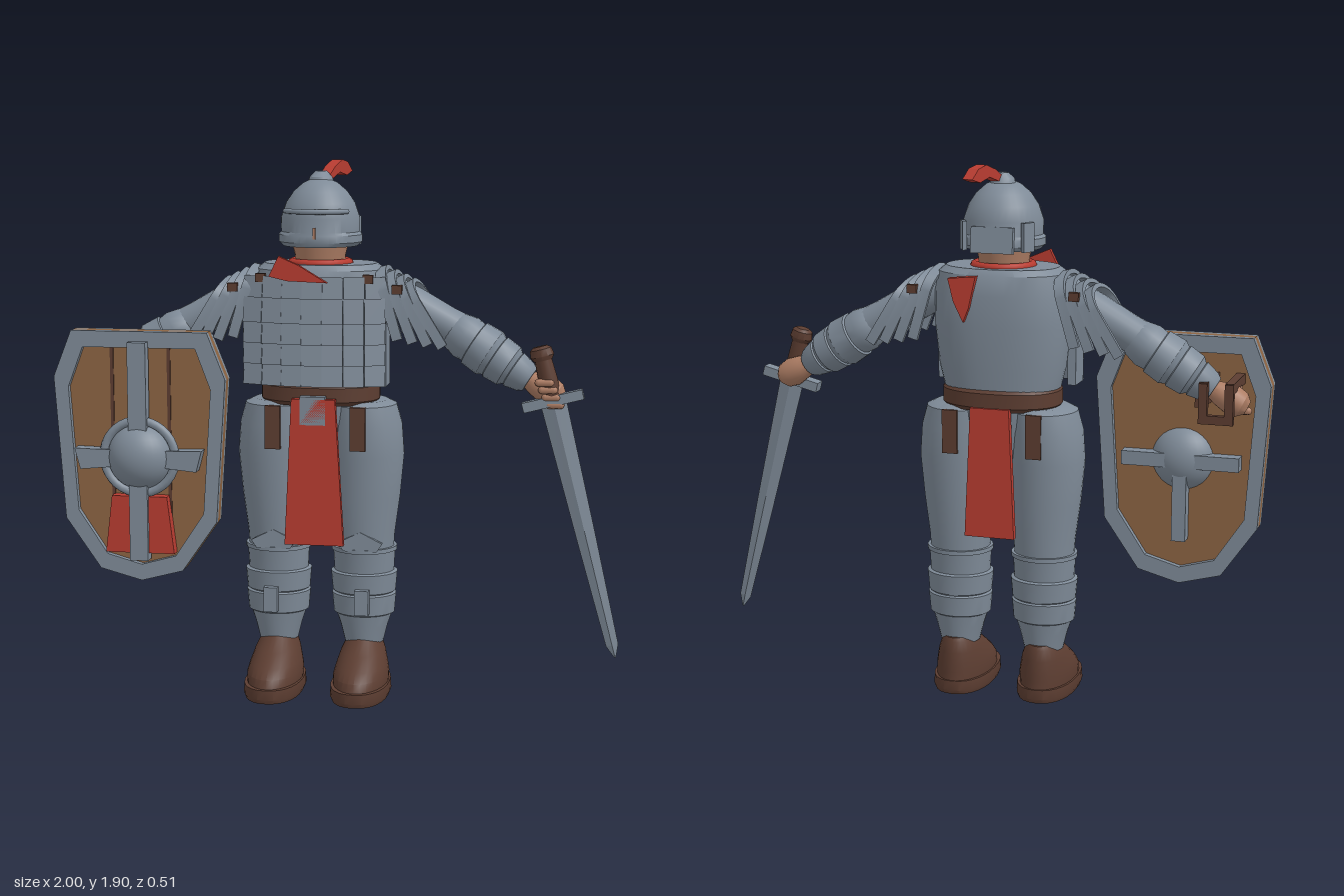
import * as THREE from 'three';
import { toCreasedNormals, mergeGeometries } from 'three/addons/utils/BufferGeometryUtils.js';

const CX = -0.075; // body centre line
const mat = (name, color) => Object.assign(new THREE.MeshStandardMaterial({ color }), { name });

// Closed skin over rings [y, centreX, centreZ, radiusX, radiusZ, roundness]; 2 is an ellipse, more is boxier
function loft(rings, n = 28, crease = 0.55) {
  const cap = (r) => [r[0], r[1], r[2], 0, 0, 2];
  const all = [cap(rings[0]), ...rings, cap(rings[rings.length - 1])];
  const pos = [], idx = [];
  const pw = (v, e) => Math.sign(v) * Math.abs(v) ** e;
  all.forEach(([y, cx, cz, rx, rz, p = 2], i) => {
    for (let j = 0; j < n; j++) {
      const t = (j / n) * Math.PI * 2;
      pos.push(cx + rx * pw(Math.cos(t), 2 / p), y, cz + rz * pw(Math.sin(t), 2 / p));
      if (i === all.length - 1) continue;
      const a = i * n + j, b = i * n + (j + 1) % n;
      if (i > 0) idx.push(a, a + n, b);
      if (i < all.length - 2) idx.push(b, a + n, b + n);
    }
  });
  const g = new THREE.BufferGeometry();
  g.setAttribute('position', new THREE.Float32BufferAttribute(pos, 3));
  g.setIndex(idx);
  return toCreasedNormals(g, crease);
}

const shapeOf = (pts) => new THREE.Shape(pts.map(([x, y]) => new THREE.Vector2(x, y)));
const plate = (shape, depth) => new THREE.ExtrudeGeometry(shape, { depth, bevelEnabled: false });
const box = (w, h, d) => new THREE.BoxGeometry(w, h, d);

export function createModel() {
  const steel = mat('steel', 0x7f8b98), leather = mat('leather', 0x5c3d31), red = mat('redCloth', 0xb83c31);
  const skin = mat('skin', 0xad7d64), wood = mat('wood', 0x8c6443);
  const model = new THREE.Group();
  model.name = 'armouredSoldier';

  const add = (name, geo, material, p = [0, 0, 0], r = [0, 0, 0], parent = model) => {
    const m = new THREE.Mesh(geo, material);
    m.name = name;
    m.position.set(...p);
    m.rotation.set(...r);
    parent.add(m);
    return m;
  };
  // Round limb from a to b, with profile [fraction along, radius]
  const limb = (name, material, a, b, profile) => {
    const A = new THREE.Vector3(...a), d = new THREE.Vector3(...b).sub(A), len = d.length();
    const m = add(name, loft(profile.map(([t, r]) => [t * len, 0, 0, r, r]), 20), material, a);
    m.quaternion.setFromUnitVectors(new THREE.Vector3(0, 1, 0), d.normalize());
  };

  // Torso, hips and belt
  add('torso', loft([
    [1.1, CX, -0.04, 0.2, 0.14, 2.3], [1.2, CX, -0.04, 0.225, 0.15, 2.3], [1.35, CX, -0.04, 0.24, 0.16, 2.4],
    [1.46, CX, -0.04, 0.24, 0.16, 2.4], [1.53, CX, -0.04, 0.225, 0.15, 2.4], [1.55, CX, -0.04, 0.2, 0.135, 2.3]
  ], 40), steel);
  add('hips', loft([[0.88, CX, -0.045, 0.13, 0.1], [1.0, CX, -0.045, 0.21, 0.12], [1.08, CX, -0.045, 0.2, 0.13]]), steel);
  add('belt', loft([
    [1.055, CX, -0.04, 0.2, 0.14, 2.3], [1.07, CX, -0.04, 0.212, 0.152, 2.3],
    [1.12, CX, -0.04, 0.212, 0.152, 2.3], [1.135, CX, -0.04, 0.2, 0.14, 2.3]
  ], 36), leather);
  add('buckle', box(0.09, 0.1, 0.03), steel, [CX, 1.045, 0.13]);

  // Breastplate of overlapping small plates
  const scales = [];
  for (let row = 0; row < 5; row++) for (let c = -3; c <= 3; c++) {
    const dx = c * 0.071;
    const g = box(0.072, 0.088, 0.022);
    g.rotateX(-0.12).rotateY(c * 0.1);
    g.translate(CX + dx, 1.175 + row * 0.073, 0.147 - 0.9 * dx * dx + (row === 4 ? -0.015 : 0));
    scales.push(g);
  }
  add('breastplateScales', mergeGeometries(scales), steel);
  for (const s of [-1, 1]) {
    add('breastplateSide', box(0.03, 0.3, 0.1), steel, [CX + s * 0.238, 1.28, 0.05]);
    add('breastplateStrap', box(0.035, 0.03, 0.02), leather, [CX + s * 0.19, 1.505, 0.1]);
  }

  // Scarf and hanging cloths
  add('collar', new THREE.TorusGeometry(0.1, 0.016, 8, 28), red, [CX, 1.55, -0.035], [Math.PI / 2, 0, 0]);
  add('scarfFront', plate(shapeOf([[-0.225, 1.515], [-0.19, 1.585], [-0.12, 1.555], [-0.02, 1.495], [-0.16, 1.5]]), 0.02), red, [0, 0, 0.14]);
  add('scarfBack', plate(shapeOf([[-0.03, 1.53], [0.07, 1.52], [0.05, 1.44], [0.015, 1.37], [-0.005, 1.42]]), 0.03), red, [0, 0, -0.215]);
  add('frontCloth', plate(shapeOf([[-0.175, 0.57], [0.035, 0.57], [0.005, 1.09], [-0.15, 1.09]]), 0.025), red, [0, -0.004, 0.12], [0, 0, 0]);
  add('backCloth', plate(shapeOf([[-0.165, 0.61], [0.015, 0.61], [-0.005, 1.07], [-0.145, 1.07]]), 0.025), red, [0, 0, -0.2]);

  // Head and helmet
  add('neck', loft([[1.53, CX, -0.03, 0.085, 0.085], [1.58, CX, -0.03, 0.09, 0.095], [1.68, CX, -0.03, 0.115, 0.115]]), skin);
  add('helmet', loft([
    [1.61, CX, -0.035, 0.132, 0.126], [1.625, CX, -0.035, 0.148, 0.134], [1.65, CX, -0.035, 0.148, 0.134],
    [1.66, CX, -0.035, 0.139, 0.13], [1.71, CX, -0.035, 0.139, 0.134], [1.76, CX, -0.035, 0.122, 0.12],
    [1.8, CX, -0.035, 0.095, 0.095], [1.83, CX, -0.035, 0.06, 0.06], [1.845, CX, -0.035, 0.025, 0.025]
  ], 36), steel);
  add('browBar', new THREE.TorusGeometry(0.14, 0.009, 8, 20, Math.PI * 0.58), steel, [CX, 1.735, -0.032], [Math.PI / 2, 0, Math.PI * 0.21]);
  add('noseSlit', box(0.01, 0.04, 0.006), skin, [CX, 1.66, 0.1]);
  add('neckGuard', box(0.15, 0.09, 0.02), steel, [CX, 1.65, -0.165], [0.1, 0, 0]);
  for (const s of [-1, 1]) add('cheekGuard', box(0.015, 0.1, 0.05), steel, [CX + s * 0.115, 1.66, -0.13], [0, s * 0.5, 0]);
  add('crestKnob', loft([
    [1.835, CX, -0.045, 0.045, 0.045], [1.85, CX, -0.045, 0.04, 0.04], [1.87, CX, -0.05, 0.02, 0.02]
  ], 16), steel);
  add('plume', plate(shapeOf([
    [0, 1.85], [0.06, 1.885], [0.12, 1.905], [0.17, 1.895], [0.21, 1.862], [0.16, 1.848], [0.1, 1.862], [0.03, 1.84]
  ]), 0.04), red, [CX - 0.01, 0, -0.05], [0, Math.PI / 2 - 0.25, 0]);

  // Shoulder arch, open below
  const arch = new THREE.Shape();
  arch.moveTo(0.135, -0.24).lineTo(0.135, -0.06).quadraticCurveTo(0.12, 0.01, 0, 0.015)
    .quadraticCurveTo(-0.12, 0.01, -0.135, -0.06).lineTo(-0.135, -0.24).lineTo(-0.118, -0.24).lineTo(-0.118, -0.06)
    .quadraticCurveTo(-0.1, -0.005, 0, -0.002).quadraticCurveTo(0.1, -0.005, 0.118, -0.06).lineTo(0.118, -0.24);
  const archGeo = toCreasedNormals(plate(arch, 0.036).translate(0, 0, -0.018), 0.5);

  for (const s of [-1, 1]) {
    const X = (dx) => CX + s * dx;

    // Legs
    const lx = X(0.157);
    add('thigh', loft([
      [0.5, lx, -0.045, 0.105, 0.1], [0.58, lx, -0.045, 0.11, 0.108], [0.72, X(0.16), -0.045, 0.126, 0.118],
      [0.87, X(0.165), -0.045, 0.135, 0.13], [0.98, X(0.16), -0.045, 0.132, 0.135],
      [1.05, X(0.15), -0.045, 0.122, 0.13], [1.065, X(0.14), -0.045, 0.1, 0.11]
    ]), steel);
    add('greave', loft([
      [0.18, lx, -0.045, 0.07, 0.075], [0.24, lx, -0.045, 0.085, 0.085], [0.285, lx, -0.045, 0.1, 0.092],
      [0.29, lx, -0.045, 0.11, 0.1], [0.36, lx, -0.045, 0.116, 0.106], [0.365, lx, -0.045, 0.106, 0.1],
      [0.37, lx, -0.045, 0.114, 0.104], [0.44, lx, -0.045, 0.12, 0.11], [0.445, lx, -0.045, 0.108, 0.1],
      [0.52, lx, -0.045, 0.112, 0.108]
    ]), steel);
    add('kneeBand', loft([[0.52, lx, -0.045, 0.118, 0.114], [0.535, lx, -0.045, 0.118, 0.114]]), steel);
    add('kneePlate', plate(shapeOf([[-0.08, 0.56], [0, 0.6], [0.08, 0.56], [0.06, 0.53], [-0.06, 0.53]]), 0.015), steel, [lx, 0, 0.05]);
    add('greaveBuckle', box(0.05, 0.09, 0.03), steel, [X(0.165), 0.345, 0.07]);

    // Boots
    add('sole', loft([[0, lx, 0.035, 0.1, 0.19, 2.3], [0.015, lx, 0.035, 0.106, 0.196, 2.3], [0.05, lx, 0.035, 0.104, 0.194, 2.3]]), leather);
    add('boot', loft([
      [0.05, lx, 0.03, 0.098, 0.185], [0.08, lx, 0.025, 0.099, 0.178], [0.11, lx, 0.008, 0.092, 0.16],
      [0.15, lx, -0.022, 0.08, 0.125], [0.19, lx, -0.05, 0.062, 0.092], [0.205, lx, -0.055, 0.05, 0.08]
    ]), leather);

    // Hanging straps on the hips
    for (const z of [0.085, -0.17]) add('hipStrap', box(0.055, 0.155, 0.022), leather, [X(0.152), 0.975, z]);

    // Shoulder bands
    for (let k = 0; k < 4; k++) {
      add('shoulderBand', archGeo, steel, [X(0.225 + k * 0.033), 1.525 - k * 0.016, -0.035],
        [0, Math.PI / 2, 0]).rotation.set(0, Math.PI / 2, s * (0.28 + k * 0.09), 'ZYX');
    }
    for (const z of [0.095, -0.165]) add('shoulderTie', box(0.035, 0.03, 0.02), leather, [X(0.29), 1.47, z]);

    // Arms
    limb('upperArm', steel, [X(0.2), 1.47, -0.035], [X(0.53), 1.295, -0.04], [[0, 0.065], [0.4, 0.068], [0.75, 0.063], [1, 0.066]]);
    limb('forearm', steel, [X(0.46), 1.33, -0.04], [X(0.745), 1.15, -0.015], [
      [0, 0.05], [0.06, 0.068], [0.2, 0.08], [0.3, 0.076], [0.31, 0.084], [0.5, 0.088], [0.56, 0.076],
      [0.57, 0.082], [0.74, 0.078], [0.79, 0.062], [0.8, 0.068], [0.95, 0.056], [1, 0.045]
    ]);
    limb('hand', skin, [X(0.735), 1.155, -0.015], [X(0.86), 1.09, 0.0], [[0, 0.03], [0.25, 0.042], [0.6, 0.052], [0.85, 0.045], [1, 0.025]]);
    for (let f = 0; f < 4; f++) {
      add('finger', new THREE.CapsuleGeometry(0.014, 0.04, 4, 8), skin,
        [X(0.8 + f * 0.012), 1.15 - f * 0.026, 0.045 - f * 0.003], [0, 0, Math.PI / 2]);
    }
  }

  // Sword
  const sword = new THREE.Group();
  sword.name = 'sword';
  sword.position.set(0.755, 1.085, 0.025);
  sword.rotation.set(-0.03, 0, 0.254);
  model.add(sword);
  add('blade', loft([
    [-0.935, 0, 0, 0.003, 0.002, 1], [-0.89, 0, 0, 0.022, 0.007, 1], [-0.5, 0, 0, 0.034, 0.011, 1], [0, 0, 0, 0.046, 0.013, 1]
  ], 4, 0.1), steel, [0, 0, 0], [0, 0, 0], sword);
  add('guard', box(0.215, 0.035, 0.045), steel, [0, 0, 0], [0, 0, 0], sword);
  add('grip', loft([[0.01, 0, 0, 0.028, 0.026], [0.07, 0, 0, 0.034, 0.03], [0.15, 0, 0, 0.03, 0.028]], 12), leather, [0, 0, 0], [0, 0, 0], sword);
  add('pommel', loft([[0.145, 0, 0, 0.032, 0.028], [0.16, 0, 0, 0.042, 0.034], [0.185, 0, 0, 0.038, 0.03], [0.195, 0, 0, 0.025, 0.02]], 12), leather, [0, 0, 0], [0, 0, 0], sword);

  // Shield: wooden core between two steel rims
  const shield = new THREE.Group();
  shield.name = 'shield';
  shield.position.set(-0.69, 0.87, 0);
  model.add(shield);
  const onShield = (name, geo, material, p, r) => add(name, geo, material, p, r, shield);
  const half = [[0, -0.45], [0.15, -0.41], [0.275, -0.23], [0.31, 0.28], [0.245, 0.445]];
  const outline = [...half, ...half.slice(1).reverse().map(([x, y]) => [-x, y])];
  const rim = shapeOf(outline);
  rim.holes.push(new THREE.Path(outline.map(([x, y]) => new THREE.Vector2(x * 0.83, y * 0.87))));
  onShield('shieldCore', plate(shapeOf(outline), 0.034), wood, [0, 0, 0.11]);
  onShield('shieldRimFront', plate(rim, 0.024), steel, [0, 0, 0.143]);
  onShield('shieldRimBack', plate(rim, 0.024), steel, [0, 0, 0.087]);
  onShield('shieldUpright', box(0.066, 0.78, 0.045), steel, [0, 0.02, 0.18]);
  for (const s of [-1, 1]) {
    onShield('shieldCrossArm', plate(shapeOf([[0, -0.025], [s * 0.21, -0.045], [s * 0.23, 0.03], [0, 0.025]]), 0.05), steel, [0, 0, 0.15]);
    onShield('shieldGroove', box(0.012, 0.74, 0.006), leather, [s * 0.103, 0.015, 0.146]);
    onShield('shieldRedPanel', plate(shapeOf([[s * 0.03, -0.345], [s * 0.125, -0.345], [s * 0.1, -0.14], [s * 0.03, -0.14]]), 0.045), red, [0, 0, 0.142]);
  }
  onShield('bossRing', new THREE.TorusGeometry(0.13, 0.016, 8, 36), steel, [0, 0, 0.175]);
  onShield('boss', new THREE.SphereGeometry(0.12, 32, 20), steel, [0, 0, 0.15]).scale.z = 0.85;
  onShield('backCrossBar', box(0.42, 0.05, 0.05), steel, [0, 0, 0.085]);
  onShield('backUpright', box(0.05, 0.28, 0.05), steel, [0, -0.15, 0.085]);

  // Hand grip and arm strap behind the shield
  for (const x of [-0.89, -0.8]) {
    add('gripBracket', box(0.03, 0.035, 0.2), leather, [x, 1.17, 0.01]);
    add('gripPost', box(0.03, 0.13, 0.025), leather, [x, 1.12, -0.085]);
  }
  add('gripBar', box(0.12, 0.03, 0.025), leather, [-0.845, 1.06, -0.085]);
  for (const [x, y] of [[-0.6, 1.24], [-0.77, 1.1]]) add('armStrap', box(0.035, 0.04, 0.12), leather, [x, y, 0.06]);
  return model;
}
